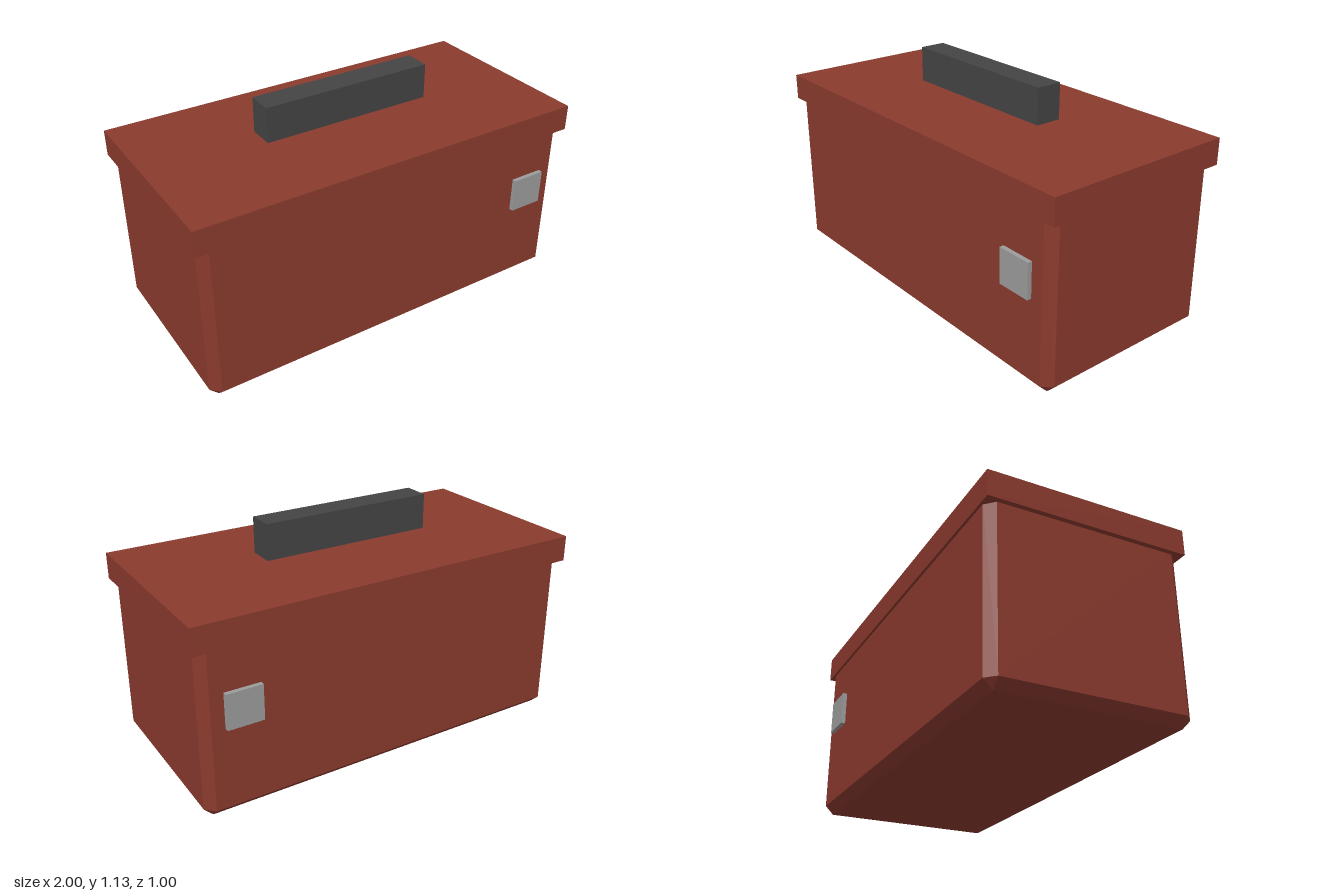
import * as THREE from 'three';
import { ConvexGeometry } from 'three/addons/geometries/ConvexGeometry.js';

const material = (name, color) => {
  const m = new THREE.MeshStandardMaterial({ color });
  m.name = name;
  return m;
};

// Box with every edge and corner cut flat by c
function chamferedBox(w, h, d, c) {
  const half = [w / 2, h / 2, d / 2];
  const points = [];
  for (const sx of [-1, 1]) for (const sy of [-1, 1]) for (const sz of [-1, 1]) {
    const signs = [sx, sy, sz];
    for (let axis = 0; axis < 3; axis++) {
      points.push(new THREE.Vector3(
        ...signs.map((s, i) => s * (i === axis ? half[i] : half[i] - c))));
    }
  }
  return new ConvexGeometry(points);
}

export function createModel() {
  const group = new THREE.Group();
  group.name = 'toolbox';
  const red = material('brick red', 0x8b3a2e);
  const darkGrey = material('dark grey', 0x444444);
  const steel = material('steel grey', 0x9c9c9c);

  const add = (name, geometry, mat, x, y, z) => {
    const mesh = new THREE.Mesh(geometry, mat);
    mesh.name = name;
    mesh.position.set(x, y, z);
    group.add(mesh);
  };

  // Chamfered body, its top tucked inside the lid
  add('body', chamferedBox(1.952, 0.87, 0.954, 0.043), red, 0, 0.435, 0);

  // Overhanging lid and the grip above it
  add('lid', new THREE.BoxGeometry(2, 0.127, 0.978), red, 0, 0.872, 0);
  add('handle', new THREE.BoxGeometry(0.87, 0.174, 0.13), darkGrey, 0, 1.046, 0);

  // Latch plates on the front and back
  for (const side of [1, -1]) {
    add(side > 0 ? 'frontLatch' : 'backLatch',
      new THREE.BoxGeometry(0.174, 0.172, 0.043), steel, 0.782, 0.522, side * 0.477);
  }
  return group;
}
